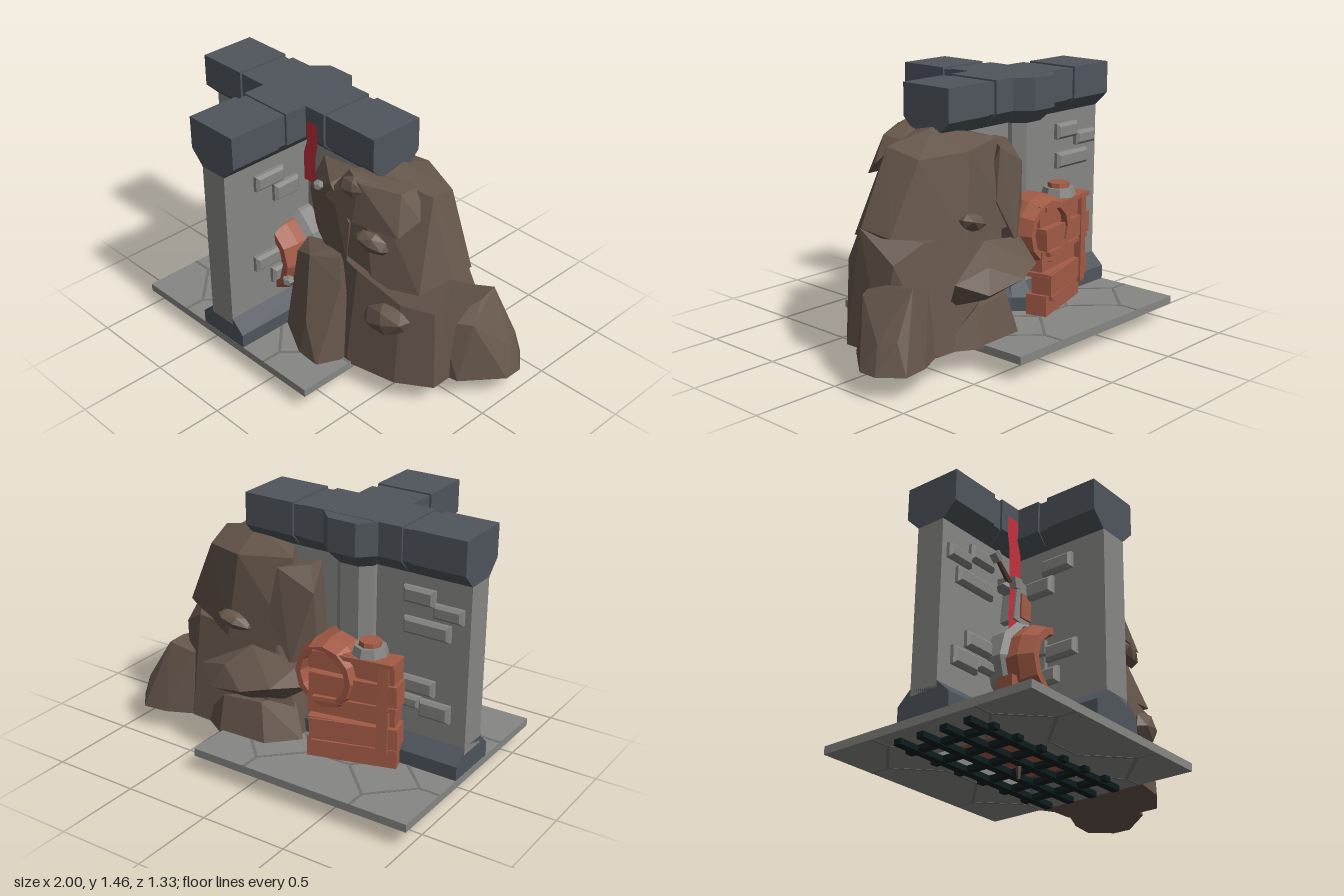
import * as THREE from 'three';
import { ConvexGeometry } from 'three/addons/geometries/ConvexGeometry.js';

const mat = (name, color) => new THREE.MeshStandardMaterial({ name, color, flatShading: true });
const CX = -0.335; // centre of the wall crossing

export function createModel() {
  const M = {
    stone: mat('grey stone', 0x868684),
    joint: mat('stone joint', 0x727270),
    beam: mat('slate', 0x4f555c),
    rock: mat('brown rock', 0x66564b),
    wood: mat('red wood', 0xa35b46),
    cloth: mat('red cloth', 0xc2303d),
    iron: mat('dark iron', 0x0c1c1e),
    stick: mat('dark timber', 0x4c3a30),
  };
  M.cloth.side = THREE.DoubleSide;
  const root = new THREE.Group();
  root.name = 'ruinedWall';

  const add = (name, geo, m, x = 0, y = 0, z = 0, ry = 0, rz = 0, parent = root) => {
    const mesh = new THREE.Mesh(geo, m);
    mesh.name = name;
    mesh.position.set(x, y, z);
    mesh.rotation.set(0, ry, rz);
    parent.add(mesh);
    return mesh;
  };
  const box = (name, m, w, h, d, x, y, z, ry = 0, rz = 0) =>
    add(name, new THREE.BoxGeometry(w, h, d), m, x, y, z, ry, rz);
  const shape = pts => new THREE.Shape(pts.map(p => new THREE.Vector2(...p)));
  const rect = (w, d) => [[-w, -d], [w, -d], [w, d], [-w, d]];

  // Floor slab with a shallow hatch recess underneath
  const slab = shape(rect(0.665, 0.665));
  slab.holes.push(shape(rect(0.33, 0.2)));
  add('floor', new THREE.ExtrudeGeometry(slab, { depth: 0.045, bevelEnabled: false }).rotateX(-Math.PI / 2), M.stone, CX, 0.1, 0);
  box('floorInfill', M.stone, 0.66, 0.008, 0.4, CX, 0.141, 0);
  box('hatchPanel', M.wood, 0.56, 0.008, 0.31, CX, 0.134, 0);

  // Octagonal paving joints on both faces
  const joint = (x1, z1, x2, z2, faces) => {
    for (const y of faces)
      box('pavingJoint', M.joint, Math.hypot(x2 - x1, z2 - z1), 0.003, 0.016,
        CX + (x1 + x2) / 2, y, (z1 + z2) / 2, -Math.atan2(z2 - z1, x2 - x1));
  };
  const both = [0.145, 0.1];
  for (const sx of [-1, 1]) for (const sz of [-1, 1]) {
    const c = 0.333, r = 0.215, x = sx * c, z = sz * c;
    joint(x + sx * r, z, x, z - sz * r, both);
    joint(x - sx * r, z, x, z + sz * r, both);
    joint(x + sx * r, z, x, z + sz * r, both);
    joint(x - sx * r, z, x, z - sz * r, [0.145]);
    joint(x + sx * r, z, sx * 0.664, z, both);
    joint(x, z + sz * r, x, sz * 0.664, both);
    joint(x - sx * r, z, 0, z, both);
  }

  // Grating and hanging spike
  for (let i = 0; i < 4; i++)
    box('gratingBar', M.iron, 1.2, 0.032, 0.045, CX + 0.005, 0.084, -0.225 + i * 0.15);
  for (let i = 0; i < 6; i++)
    box('gratingCrossBar', M.iron, 0.045, 0.028, 0.57, CX - 0.45 + i * 0.18, 0.086, 0);
  add('spike', new THREE.CylinderGeometry(0.02, 0.01, 0.09, 6), M.stick, CX, 0.046, 0.05);

  // Wall arms: each is a run of beam, wall and footing sections along local +x
  const beamProfile = (w, top) => shape([[-w, 1.28], [-0.085, 1.2], [0.085, 1.2], [w, 1.28], [w, top], [-w, top]]);
  const baseProfile = shape([[-0.165, 0.14], [0.165, 0.14], [0.165, 0.225], [0.085, 0.3], [-0.085, 0.3], [-0.165, 0.225]]);
  const run = (name, s, m, from, to, arm) =>
    add(name, new THREE.ExtrudeGeometry(s, { depth: to - from, bevelEnabled: false })
      .translate(0, 0, from).rotateY(Math.PI / 2), m, 0, 0, 0, 0, 0, arm);
  const g = 0.3; // start of the groove
  for (const [name, ry] of [['leftArm', Math.PI], ['rightArm', 0], ['frontArm', -Math.PI / 2]]) {
    const arm = new THREE.Group();
    arm.name = name;
    arm.position.x = CX;
    arm.rotation.y = ry;
    root.add(arm);
    run('beam', beamProfile(0.165, 1.462), M.beam, 0, g, arm);
    run('beamGroove', beamProfile(0.152, 1.453), M.beam, g, g + 0.06, arm);
    run('beamEnd', beamProfile(0.165, 1.462), M.beam, g + 0.06, 0.664, arm);
    run('footing', baseProfile, M.beam, 0, 0.664, arm);
    add('wall', new THREE.BoxGeometry(0.664, 0.94, 0.17), M.stone, 0.332, 0.73, 0, 0, 0, arm);
  }

  // Bulging centre post with a faceted cap and foot
  const prism = (name, m, r1, r2, y1, y2) => {
    const ring = (r, y) => [[-0.7, 0], [-0.66, -0.66], [-0.33, -1], [0.33, -1], [0.66, -0.66], [0.7, 0]]
      .map(([x, z]) => new THREE.Vector3(x * r, y, z * r));
    add(name, new ConvexGeometry([...ring(r1, y1), ...ring(r2, y2)]), m, CX);
  };
  prism('postCap', M.beam, 0.25, 0.25, 1.28, 1.46);
  prism('postCapTaper', M.beam, 0.17, 0.25, 1.2, 1.28);
  prism('post', M.stone, 0.17, 0.17, 0.3, 1.2);
  prism('postFootTaper', M.beam, 0.25, 0.17, 0.225, 0.3);
  prism('postFoot', M.beam, 0.25, 0.25, 0.14, 0.225);

  // Raised bricks with bevelled edges
  const brick = (u, y, w, h, place) => {
    const b = 0.016;
    const geo = new THREE.ExtrudeGeometry(shape(rect(w / 2 - b, h / 2 - b)),
      { depth: 0.02, bevelThickness: b, bevelSize: b, bevelSegments: 1 });
    place(add('brick', geo, M.stone), u, y);
  };
  const onFront = (m, u, y) => m.position.set(u, y, 0.085);
  const onBack = (m, u, y) => { m.position.set(u, y, -0.085); m.rotation.y = Math.PI; };
  const onRight = (m, u, y) => { m.position.set(CX + 0.085, y, u); m.rotation.y = Math.PI / 2; };
  const onLeft = (m, u, y) => { m.position.set(CX - 0.085, y, u); m.rotation.y = -Math.PI / 2; };
  for (const [u, y, w, h] of [[-0.88, 1.03, 0.17, 0.08], [-0.71, 1.09, 0.18, 0.09], [-0.76, 0.92, 0.27, 0.09],
    [-0.72, 0.59, 0.19, 0.09], [-0.82, 0.47, 0.18, 0.1], [-0.67, 0.49, 0.13, 0.07]])
    for (const side of [onFront, onBack]) brick(u, y, w, h, side);
  for (const [u, y, w, h] of [[0.375, 1.085, 0.19, 0.09], [0.26, 0.98, 0.17, 0.1], [0.4, 0.585, 0.19, 0.09], [0.28, 0.46, 0.2, 0.09]])
    for (const side of [onRight, onLeft]) brick(u, y, w, h, side);

  // Banners hung flat against the front of the beam, kinked below it
  for (const s of [-1, 1]) {
    const end = s < 0 ? 0.72 : 1.02;
    const rows = [[0.175, 0.255, 1.38], [0.175, 0.255, 1.26], [0.15, 0.24, 1.18], [0.15, 0.24, end]];
    const geo = new THREE.PlaneGeometry(1, 1, 1, 3);
    const p = geo.attributes.position;
    rows.forEach(([inner, outer, y], i) => {
      p.setXYZ(i * 2, s < 0 ? -outer : inner, y, 0.17);
      p.setXYZ(i * 2 + 1, s < 0 ? -inner : outer, y, 0.17);
    });
    add('banner', geo, M.cloth, CX);
  }

  // Round timber surround built into the front of the crossing
  const hoop = (name, m, profile, x, y, z, turn) =>
    add(name, new THREE.LatheGeometry(profile.map(p => new THREE.Vector2(...p)), 12)
      .rotateX(turn), m, x, y, z);
  const surround = [[0.25, 0.08], [0.25, 0.26], [0.215, 0.34], [0.175, 0.34], [0.165, 0.27], [0.12, 0.25], [0.12, 0.08]];
  hoop('roundSurround', M.wood, surround, -0.365, 0.53, 0, Math.PI / 2);
  hoop('stoneRim', M.stone, [[0.275, 0.08], [0.275, 0.17], [0.24, 0.2]], -0.365, 0.55, 0, Math.PI / 2);
  box('shoringLeg', M.wood, 0.07, 0.28, 0.1, -0.585, 0.29, 0.19, 0, 0.06);
  box('shoringFoot', M.wood, 0.09, 0.06, 0.12, -0.52, 0.2, 0.2, 0.2);
  box('upperFrame', M.stone, 0.13, 0.24, 0.1, -0.465, 0.9, 0.13, 0, -0.12);
  box('upperPanel', M.wood, 0.09, 0.14, 0.1, -0.45, 0.88, 0.14);
  for (const y of [0.43, 0.53, 0.63]) box('keyStone', M.stone, 0.22, 0.08, 0.16, CX, y, 0.22);

  // Boarded patch behind the crossing, with a half hoop and small tub
  const shift = [0.01, -0.015, 0.015, -0.01, 0.01];
  shift.forEach((d, i) => {
    const turn = 0.3 - i * 0.04;
    box('board', M.wood, 0.5 - Math.abs(d), 0.118, 0.12, -0.44 + d, 0.205 + i * 0.126, -0.26 + d, turn, d * 1.5);
    box('boardLip', M.wood, 0.46, 0.025, 0.14, -0.44 - d, 0.25 + i * 0.126, -0.26, turn, -d);
  });
  box('boardBrace', M.wood, 0.06, 0.5, 0.15, -0.61, 0.5, -0.23, 0.25);
  hoop('backHoop', M.wood, surround.map(([r, z]) => [r * 0.8, z + 0.01]), -0.29, 0.62, 0, -Math.PI / 2);
  add('tubBand', new THREE.CylinderGeometry(0.085, 0.1, 0.05, 8), M.stone, -0.5, 0.79, -0.22);
  add('tub', new THREE.CylinderGeometry(0.06, 0.07, 0.08, 8), M.wood, -0.5, 0.8, -0.22);

  // Wall torch on the left arm
  add('torchShaft', new THREE.CylinderGeometry(0.012, 0.018, 0.16, 6), M.stick, -0.63, 1.04, 0.17, 0, 0.8);
  add('torchHead', new THREE.CylinderGeometry(0.03, 0.03, 0.05, 8), M.stone, -0.68, 1.09, 0.17, 0, 0.8);
  add('torchBracket', new THREE.ConeGeometry(0.04, 0.09, 6), M.stone, -0.585, 0.97, 0.16, 0, -0.5);
  box('torchBlock', M.stone, 0.1, 0.06, 0.1, -0.53, 1.0, 0.14, 0.3, 0.3);

  // Rock fall: faceted boulders
  const rock = (name, pts) => add(name, new ConvexGeometry(pts.map(p => new THREE.Vector3(...p))), M.rock);
  rock('lowerRock', [[-0.05, 0.13, 0.25], [0.3, 0.13, 0.33], [0.6, 0.13, 0.27], [0.78, 0.13, 0.15], [0.78, 0.13, -0.12],
    [0.6, 0.13, -0.34], [0.1, 0.13, -0.36], [-0.06, 0.13, -0.2], [0.77, 0.78, 0.04], [0.76, 0.6, 0.14],
    [0.6, 0.62, 0.23], [0.3, 0.7, 0.25], [0, 0.7, 0.18], [0.75, 0.62, -0.18], [0.6, 0.72, -0.25], [0.05, 0.7, -0.28]]);
  rock('upperRock', [[0.2, 1.24, 0.12], [0.33, 1.25, -0.05], [0.6, 1.18, 0.01], [0.56, 1.13, -0.18], [0.3, 1.15, -0.28],
    [0, 1.17, -0.2], [0.77, 0.78, 0.03], [0.74, 0.75, -0.15], [-0.08, 0.7, -0.28], [0.35, 0.68, -0.32],
    [0.05, 0.7, 0.18], [0.4, 0.65, 0.24], [0.68, 0.7, 0.18]]);
  rock('backShoulder', [[-0.18, 0.62, -0.22], [-0.16, 1.02, -0.24], [-0.1, 1.15, -0.18], [0.05, 1.13, -0.27],
    [0.1, 0.85, -0.29], [-0.05, 0.6, -0.3], [-0.15, 0.65, -0.06], [-0.1, 1.15, -0.06], [0.15, 0.7, -0.1]]);
  rock('shoulderRock', [[-0.17, 0.68, 0.1], [-0.19, 1, 0.1], [-0.1, 1.17, 0.1], [0.15, 1.2, 0.1], [0.1, 1.15, 0.25],
    [0.22, 0.95, 0.23], [-0.12, 1, 0.19], [0, 0.7, 0.2], [0.2, 0.7, 0.23]]);
  rock('topSlab', [[0.04, 1.02, 0.15], [0.06, 1.06, 0.25], [0.2, 1.26, 0.21], [0.5, 1.21, 0.14], [0.6, 1.08, 0.1],
    [0.55, 1, 0.21], [0.28, 1, 0.27], [0.3, 1.23, 0.24], [0.2, 1.2, 0], [0.5, 1.2, 0]]);
  rock('frontBoulder', [[-0.17, 0.13, 0.34], [0.07, 0.13, 0.47], [0.22, 0.13, 0.48], [0.28, 0.13, 0.35], [-0.12, 0.13, 0.1],
    [0.25, 0.13, 0.1], [-0.15, 0.67, 0.18], [-0.12, 0.64, 0.29], [0.02, 0.7, 0.33], [0.18, 0.72, 0.26], [0.23, 0.6, 0.3],
    [0.1, 0.35, 0.44], [0.1, 0.72, 0.15]]);
  rock('sideBoulder', [[0.6, 0.13, -0.33], [0.75, 0.13, -0.4], [0.9, 0.13, -0.42], [1, 0.13, -0.3], [1, 0.13, -0.19],
    [0.83, 0.13, 0.02], [0.7, 0.13, 0.04], [0.95, 0.28, -0.27], [0.9, 0.3, -0.36], [0.85, 0.47, -0.06], [0.78, 0.53, -0.2],
    [0.76, 0.54, -0.33], [0.7, 0.47, 0.03], [0.62, 0.5, -0.3]]);
  rock('backSpur', [[-0.17, 0.5, -0.28], [-0.03, 0.52, -0.46], [0.13, 0.48, -0.51], [0.35, 0.43, -0.47], [0.3, 0.56, -0.42],
    [0.5, 0.5, -0.37], [-0.1, 0.62, -0.28], [0.2, 0.66, -0.3], [0, 0.38, -0.28], [0.2, 0.33, -0.3], [0.45, 0.35, -0.28]]);
  rock('backFoot', [[-0.1, 0.13, -0.25], [0.05, 0.13, -0.41], [0.35, 0.13, -0.42], [0.55, 0.13, -0.3],
    [0.1, 0.36, -0.36], [0.35, 0.34, -0.37], [0, 0.4, -0.2]]);

  // Knobs on the rock: [x, y, z, width, height, depth, roll]
  for (const [x, y, z, w, h, d, r] of [[0.4, 0.92, 0.24, 0.1, 0.06, 0.05, -0.3], [0.52, 0.5, 0.25, 0.14, 0.1, 0.07, 0.2],
    [0.26, 1.18, 0.22, 0.1, 0.07, 0.05, 0.1], [0.3, 0.78, -0.3, 0.11, 0.05, 0.07, 0.3]])
    add('rockKnob', new THREE.OctahedronGeometry(1, 1).scale(w, h, d), M.rock, x, y, z, 0.3, r);
  add('pebble', new THREE.DodecahedronGeometry(0.03), M.stone, 0, 1.09, 0.24);
  add('pebble', new THREE.DodecahedronGeometry(0.035), M.stone, -0.16, 0.44, 0.33);
  return root;
}
